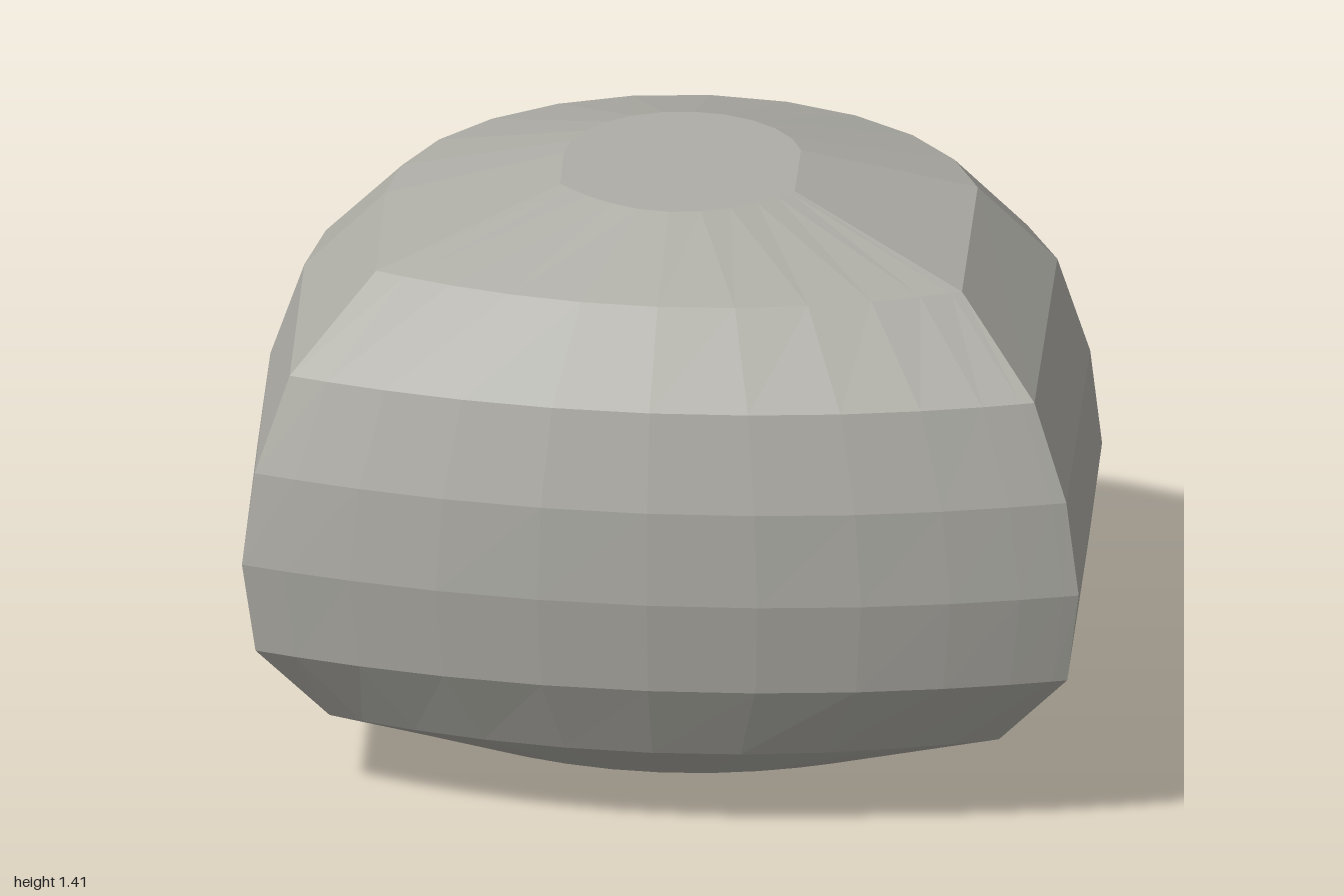
import * as THREE from 'three';

// Cross-sections: height, half width, front middle z, front corner z, back z
const LEVELS = [
  [0.00, 0.13, 0.30, 0.22, -0.21],
  [0.07, 0.45, 0.49, 0.37, -0.45],
  [0.21, 0.80, 0.70, 0.54, -0.64],
  [0.41, 0.97, 0.80, 0.64, -0.76],
  [0.64, 1.00, 0.83, 0.67, -0.79],
  [0.87, 0.97, 0.82, 0.66, -0.83],
  [1.10, 0.89, 0.76, 0.61, -0.83],
  [1.29, 0.70, 0.57, 0.41, -0.69],
  [1.41, 0.28, 0.285, 0.135, -0.31],
];
const SIDE_Z = -0.04;
const STEP = Math.PI / 12;

// 24 points: a shallow bowed front, then a rounded back
function ring([y, width, front, corner, back]) {
  const points = [];
  for (let i = -5; i <= 6; i++) {
    const s = Math.sin(i * STEP);
    points.push(new THREE.Vector3(width * s, y, front - (front - corner) * s * s));
  }
  for (let i = 5; i >= -6; i--) {
    const a = i * STEP;
    points.push(new THREE.Vector3(width * Math.sin(a), y, SIDE_Z + (back - SIDE_Z) * Math.cos(a)));
  }
  return points;
}

function shellGeometry() {
  const rings = LEVELS.map(ring);
  const positions = [];
  const face = (...corners) => corners.forEach((p) => positions.push(p.x, p.y, p.z));

  // Facets between neighbouring cross-sections
  for (let k = 0; k < rings.length - 1; k++) {
    const low = rings[k], high = rings[k + 1];
    low.forEach((a, i) => {
      const j = (i + 1) % low.length;
      face(a, low[j], high[j]);
      face(a, high[j], high[i]);
    });
  }

  // Flat caps
  const cap = (points, up) => {
    const centre = new THREE.Vector3();
    points.forEach((p) => centre.addScaledVector(p, 1 / points.length));
    points.forEach((p, i) => {
      const q = points[(i + 1) % points.length];
      if (up) face(centre, p, q);
      else face(centre, q, p);
    });
  };
  cap(rings[0], false);
  cap(rings[rings.length - 1], true);

  const geometry = new THREE.BufferGeometry();
  geometry.setAttribute('position', new THREE.Float32BufferAttribute(positions, 3));
  geometry.computeVertexNormals();
  return geometry;
}

export function createModel() {
  const stone = new THREE.MeshStandardMaterial({ color: 0xaeada6, flatShading: true });
  stone.name = 'warm grey';

  const group = new THREE.Group();
  group.name = 'facetedShell';
  const shell = new THREE.Mesh(shellGeometry(), stone);
  shell.name = 'shell';
  group.add(shell);
  return group;
}
